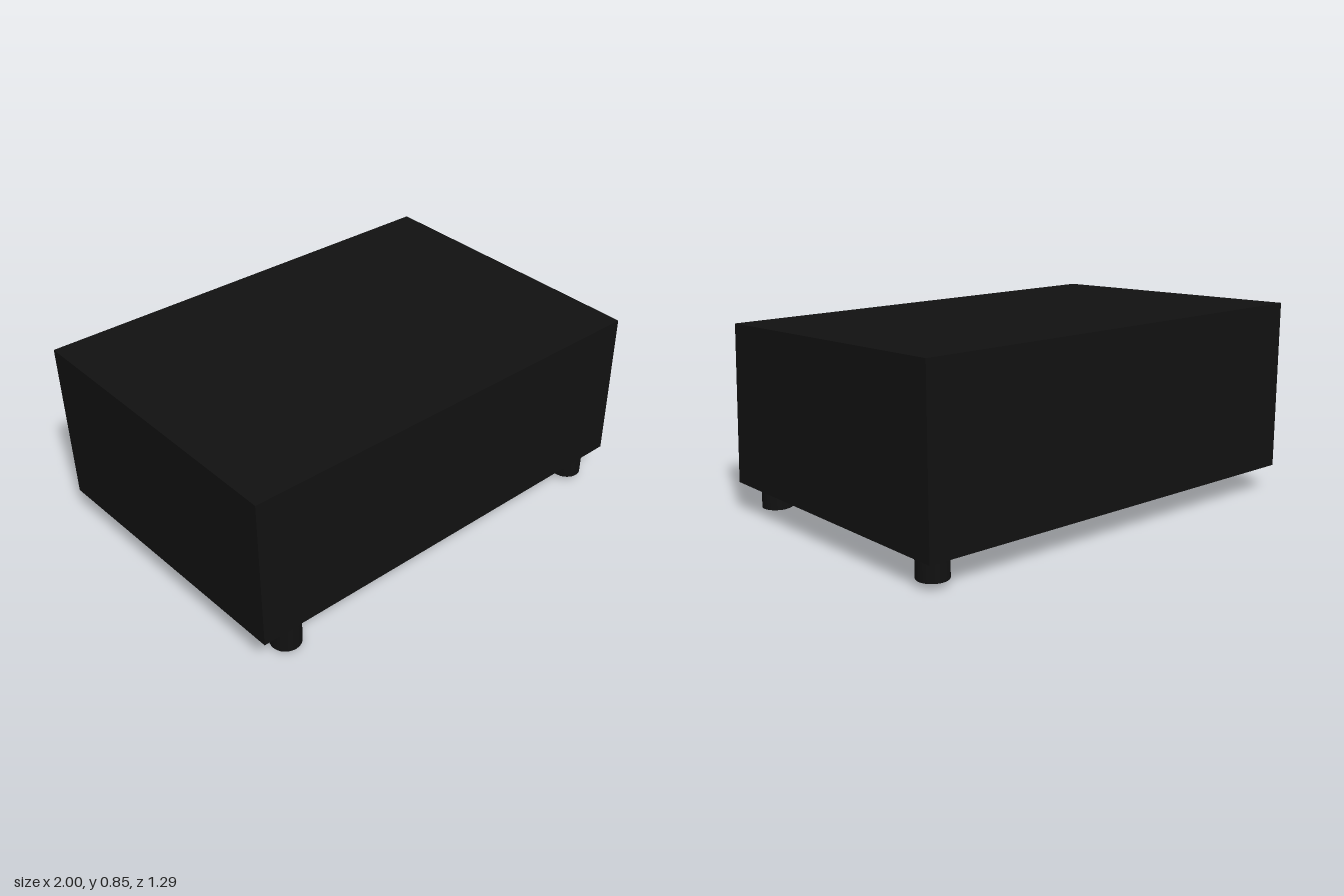
import * as THREE from 'three';

const material = new THREE.MeshStandardMaterial({ color: 0x111111 });

// Corner edges of the slightly skewed body: [left x, right x, y, z]
const EDGES = {
  topFront: [-0.95, 0.975, 0.81, 0.65],
  topBack: [-1.0, 0.935, 0.85, -0.63],
  bottomFront: [-0.935, 1.0, 0.13, 0.64],
  bottomBack: [-0.98, 0.945, 0.115, -0.645],
};

// Moves each corner of a box onto its skewed edge
function skewedBox() {
  const geometry = new THREE.BoxGeometry(2, 2, 2);
  const p = geometry.attributes.position;
  for (let i = 0; i < p.count; i++) {
    const name = (p.getY(i) > 0 ? 'top' : 'bottom') + (p.getZ(i) > 0 ? 'Front' : 'Back');
    const [x0, x1, y, z] = EDGES[name];
    p.setXYZ(i, p.getX(i) > 0 ? x1 : x0, y, z);
  }
  geometry.computeVertexNormals();
  return geometry;
}

export function createModel() {
  const group = new THREE.Group();

  const body = new THREE.Mesh(skewedBox(), material);
  body.name = 'body';
  group.add(body);

  // Round feet, each set a little unevenly: name, x, z, bottom height
  const feet = [
    ['frontLeftFoot', 0.87, 0.555, 0.018],
    ['frontRightFoot', -0.785, 0.57, 0.008],
    ['backLeftFoot', 0.87, -0.56, 0.028],
    ['backRightFoot', -0.82, -0.305, 0],
  ];
  const top = 0.15;
  for (const [name, x, z, bottom] of feet) {
    const foot = new THREE.Mesh(new THREE.CylinderGeometry(0.065, 0.065, top - bottom, 32), material);
    foot.name = name;
    foot.position.set(x, (top + bottom) / 2, z);
    group.add(foot);
  }
  return group;
}
